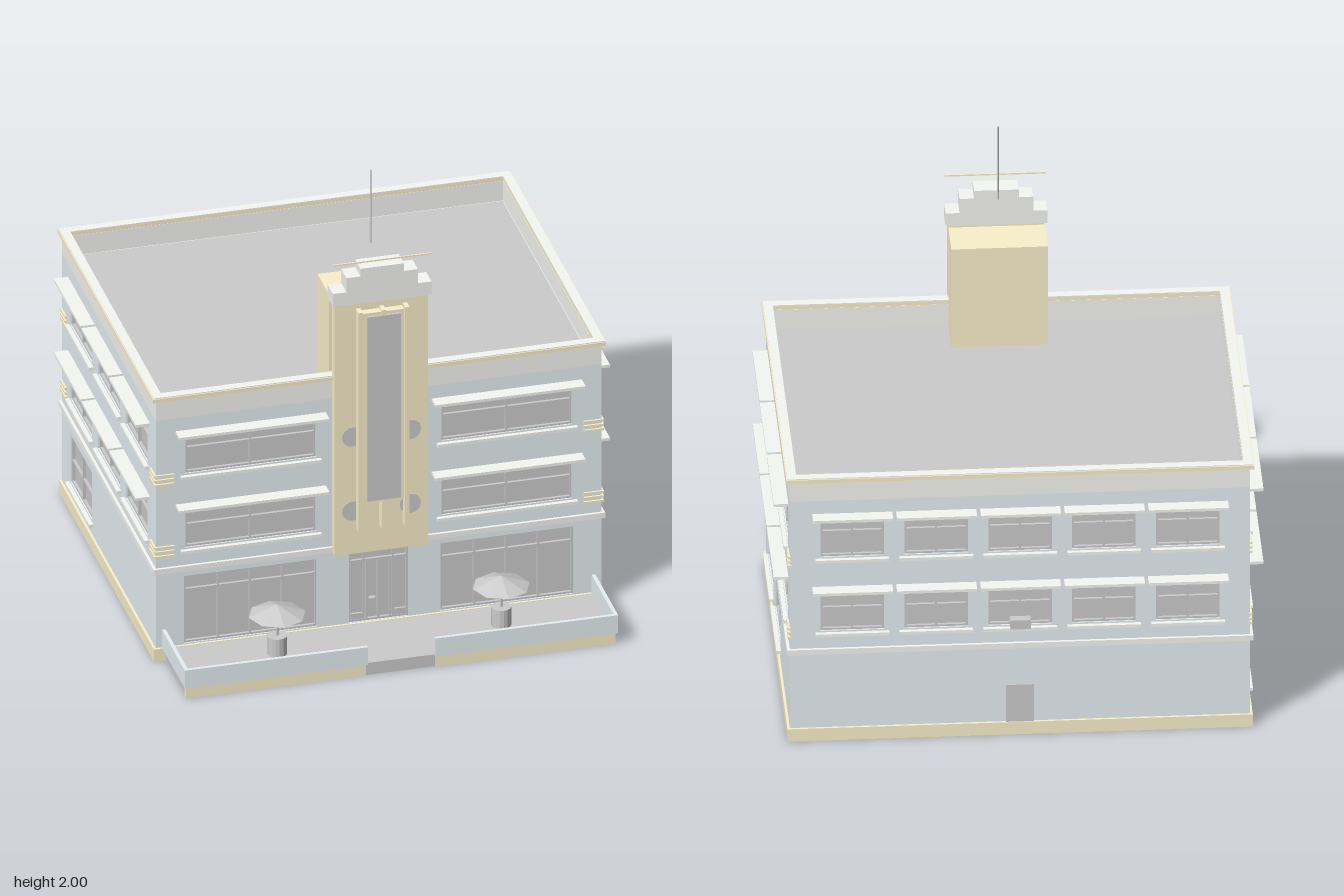
import * as THREE from 'three';

const mat = (color) => new THREE.MeshStandardMaterial({ color, flatShading: true });
const GREY = mat(0xcccccc), BLUE = mat(0xe6f0f4), CREAM = mat(0xfaf1cc), PALE = mat(0xf6f8f3);
const W = 0.905, Z0 = -0.855, Z1 = 0.567, ZC = (Z0 + Z1) / 2, D = Z1 - Z0, ROOF = 1.07, T = 0.03;

function add(parent, name, geo, material, x = 0, y = 0, z = 0) {
  const m = new THREE.Mesh(geo, material);
  m.name = name;
  m.position.set(x, y, z);
  parent.add(m);
  return m;
}

// Box given by its limits on each axis
function box(parent, name, material, x0, x1, y0, y1, z0, z1) {
  return add(parent, name, new THREE.BoxGeometry(x1 - x0, y1 - y0, z1 - z0), material,
    (x0 + x1) / 2, (y0 + y1) / 2, (z0 + z1) / 2);
}

function rect(target, x0, x1, y0, y1) {
  target.moveTo(x0, y0);
  target.lineTo(x1, y0);
  target.lineTo(x1, y1);
  target.lineTo(x0, y1);
  target.closePath();
  return target;
}

// Rectangular band round the building: out = projection past the wall, inn = inset
function ring(parent, name, material, out, inn, y0, y1) {
  const s = rect(new THREE.Shape(), -W - out, W + out, -D / 2 - out, D / 2 + out);
  s.holes.push(rect(new THREE.Path(), -W + inn, W - inn, -D / 2 + inn, D / 2 - inn));
  const g = new THREE.ExtrudeGeometry(s, { depth: y1 - y0, bevelEnabled: false });
  g.rotateX(-Math.PI / 2);
  return add(parent, name, g, material, 0, y0, ZC);
}

// Pane, frame, mullions (offsets from the centre) and transoms (heights), in wall space
function glazing(parent, { u, w, y0, y1, mullions = [0], transoms = [] }) {
  const g = new THREE.Group();
  g.name = 'window';
  const a = u - w / 2, b = u + w / 2, f = 0.008;
  const bar = (x0, x1, v0, v1) => box(g, 'windowBar', GREY, x0, x1, v0, v1, -0.02, -0.006);
  box(g, 'pane', GREY, a, b, y0, y1, -T, -0.018);
  bar(a, a + f, y0, y1);
  bar(b - f, b, y0, y1);
  bar(a + f, b - f, y0, y0 + f);
  bar(a + f, b - f, y1 - f, y1);
  mullions.forEach((m) => bar(u + m - f / 2, u + m + f / 2, y0 + f, y1 - f));
  transoms.forEach((t) => bar(a + f, b - f, t - f / 2, t + f / 2));
  parent.add(g);
}

// Wall with openings: local x runs along it, local z points outward
function wall(parent, name, width, openings, x, z, turn) {
  const g = new THREE.Group();
  g.name = name;
  g.position.set(x, 0, z);
  g.rotation.y = turn;
  const s = rect(new THREE.Shape(), -width / 2, width / 2, 0, ROOF);
  openings.forEach((o) => s.holes.push(
    rect(new THREE.Path(), o.u - o.w / 2, o.u + o.w / 2, o.y0, o.y1)));
  add(g, name + 'Panel', new THREE.ExtrudeGeometry(s, { depth: T, bevelEnabled: false }), BLUE, 0, 0, -T);
  openings.forEach((o) => {
    glazing(g, o);
    if (o.sill) box(g, 'sill', PALE, o.u - o.w / 2 - 0.02, o.u + o.w / 2 + 0.02, o.y0 - 0.02, o.y0 - 0.007, -0.01, 0.018);
    if (o.canopy) box(g, 'canopy', PALE, o.u - o.canopy / 2, o.u + o.canopy / 2, o.y1 + 0.02, o.y1 + 0.032, -0.01, 0.058);
  });
  parent.add(g);
  return g;
}

// One window on each upper floor
const upper = (u, w, canopy) => [
  { u, w, y0: 0.487, y1: 0.653, transoms: [0.585], sill: true, canopy },
  { u, w, y0: 0.818, y1: 0.98, transoms: [0.927], sill: true, canopy },
];
const ground = (u) => ({ u, w: 0.33, y0: 0.116, y1: 0.328, transoms: [0.215], sill: true });

export function createModel() {
  const model = new THREE.Group();
  model.name = 'building';

  // Walls
  const shop = (u) => ({ u, w: 0.54, y0: 0.06, y1: 0.36, mullions: [-0.13, 0, 0.13], transoms: [0.295] });
  const entry = { u: 0, w: 0.24, y0: 0.056, y1: 0.385, mullions: [-0.06, 0.06], transoms: [0.325] };
  const front = wall(model, 'frontWall', 2 * W,
    [...upper(-0.52, 0.53, 0.61), ...upper(0.52, 0.53, 0.61), shop(-0.52), shop(0.52), entry], 0, Z1, 0);
  const back = wall(model, 'backWall', 2 * W,
    [-0.66, -0.33, 0, 0.33, 0.66].flatMap((u) => upper(u, 0.25, 0.315)), 0, Z0, Math.PI);
  const sideUpper = [-0.42, 0, 0.42].flatMap((u) => upper(u, 0.33, 0.405));
  const left = wall(model, 'leftWall', D - 2 * T, [...sideUpper, ground(-0.42), ground(0)], W, ZC, Math.PI / 2);
  const right = wall(model, 'rightWall', D - 2 * T, [...sideUpper, ground(-0.42)], -W, ZC, -Math.PI / 2);

  // Entrance doors, service door and air unit
  box(front, 'doorMeetingStile', GREY, -0.004, 0.004, 0.06, 0.32, -0.02, -0.006);
  for (const s of [-1, 1]) {
    box(front, 'doorStile', GREY, s * 0.048 - 0.004, s * 0.048 + 0.004, 0.06, 0.32, -0.02, -0.006);
    box(front, 'bottomRail', GREY, s * 0.085 - 0.025, s * 0.085 + 0.025, 0.06, 0.09, -0.02, -0.008);
  }
  box(front, 'doorHandle', GREY, -0.038, -0.012, 0.15, 0.156, -0.018, 0.002);
  box(back, 'serviceDoor', GREY, -0.055, 0.055, 0.055, 0.22, -0.01, 0.006);
  box(back, 'airUnit', GREY, -0.04, 0.04, 0.485, 0.525, 0, 0.037);

  // Corner stripes
  for (const y of [0.46, 0.48, 0.5, 0.78, 0.8, 0.82]) {
    for (const s of [-1, 1]) {
      box(front, 'cornerStripe', CREAM, s * 0.872 - 0.041, s * 0.872 + 0.041, y - 0.004, y + 0.006, -0.005, 0.008);
      for (const side of [left, right])
        box(side, 'cornerStripe', CREAM, s * 0.678 - 0.038, s * 0.678 + 0.038, y - 0.004, y + 0.006, -0.005, 0.008);
    }
  }

  // Horizontal bands, parapet and roof
  ring(model, 'plinth', CREAM, 0.01, 0.025, 0, 0.055);
  ring(model, 'beltCourse', PALE, 0.012, 0.005, 0.387, 0.41);
  ring(model, 'parapet', PALE, 0, 0.027, ROOF, 1.157);
  ring(model, 'cornice', CREAM, 0.015, 0.026, 1.157, 1.173);
  ring(model, 'coping', PALE, 0.011, 0.026, 1.173, 1.177);
  box(model, 'roof', GREY, -W + 0.02, W - 0.02, ROOF - 0.015, ROOF, Z0 + 0.02, Z1 - 0.02);

  // Tower
  const tower = new THREE.Group();
  tower.name = 'tower';
  model.add(tower);
  box(tower, 'towerFace', CREAM, -0.19, 0.19, 0.387, 1.51, 0.566, 0.608);
  box(tower, 'roofHouse', CREAM, -0.19, 0.19, ROOF, 1.51, 0.347, 0.524);
  const fins = [-0.095, 0, 0.095];
  fins.forEach((x) => box(tower, 'fin', CREAM, x - 0.009, x + 0.009, 0.5, 1.48, 0.606, 0.648));
  box(tower, 'towerWindowFrame', CREAM, -0.083, 0.083, 0.622, 1.47, 0.606, 0.64);
  box(tower, 'towerWindow', GREY, -0.068, 0.068, 0.635, 1.457, 0.63, 0.65);
  for (const x of [-0.117, 0.117]) for (const y of [0.58, 0.91])
    add(tower, 'roundLight', new THREE.CylinderGeometry(0.043, 0.043, 0.004, 24).rotateX(Math.PI / 2), GREY, x, y, 0.609);

  // Stepped crown
  const half = [[0.2, 1.508], [0.2, 1.565], [0.145, 1.565], [0.145, 1.628], [0.088, 1.628], [0.088, 1.662]];
  const outline = [...half, ...half.map(([x, y]) => [-x, y]).reverse()].map(([x, y]) => new THREE.Vector2(x, y));
  add(tower, 'crown', new THREE.ExtrudeGeometry(new THREE.Shape(outline), { depth: 0.08, bevelEnabled: false }), PALE, 0, 0, 0.54);
  box(tower, 'lightRod', CREAM, -0.2, 0.2, 1.688, 1.694, 0.616, 0.622);
  add(tower, 'antenna', new THREE.CylinderGeometry(0.003, 0.004, 0.325, 8), GREY, 0, 1.8375, 0.445);

  // Terrace with low walls
  const terrace = new THREE.Group();
  terrace.name = 'terrace';
  model.add(terrace);
  box(terrace, 'deck', GREY, -0.866, 0.866, 0, 0.053, Z1 + 0.01, 0.896);
  for (const s of [-1, 1]) {
    const span = (name, m, a, b, ...rest) => box(terrace, name, m, Math.min(s * a, s * b), Math.max(s * a, s * b), ...rest);
    span('terracePlinth', CREAM, 0.14, 0.872, 0, 0.053, 0.88, 0.9);
    span('terraceFrontWall', BLUE, 0.137, 0.88, 0.053, 0.133, 0.899, 0.914);
    span('terraceSideWall', BLUE, 0.865, 0.88, 0.053, 0.133, Z1, 0.899);
  }

  // Tables with parasols
  for (const x of [-0.455, 0.455]) {
    const set = new THREE.Group();
    set.name = 'parasolTable';
    set.position.set(x, 0, 0.725);
    add(set, 'table', new THREE.CylinderGeometry(0.04, 0.04, 0.08, 16), GREY, 0, 0.093, 0);
    add(set, 'pole', new THREE.CylinderGeometry(0.005, 0.005, 0.13, 8), GREY, 0, 0.195, 0);
    add(set, 'parasol', new THREE.ConeGeometry(0.115, 0.045, 8), GREY, 0, 0.248, 0);
    terrace.add(set);
  }
  return model;
}
